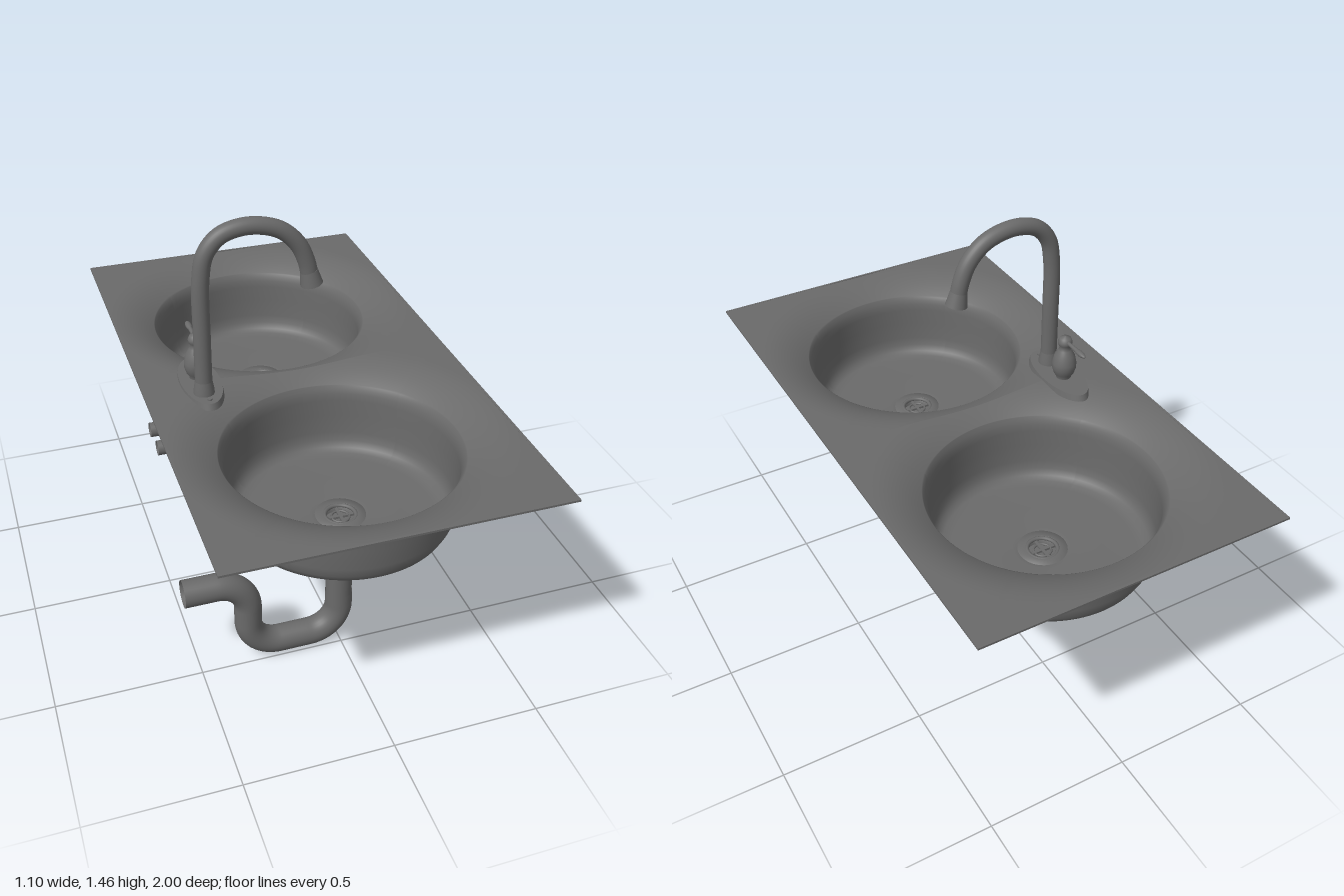
import * as THREE from 'three';

const steel = new THREE.MeshStandardMaterial({ color: 0x6a6a6a, side: THREE.DoubleSide });
steel.name = 'dark steel';
const V = (x, y, z) => new THREE.Vector3(x, y, z);
const BOWL_Z = 0.465, TOP = 0.845;

function add(parent, name, geometry, x = 0, y = 0, z = 0) {
  const mesh = new THREE.Mesh(geometry, steel);
  mesh.name = name;
  mesh.position.set(x, y, z);
  parent.add(mesh);
  return mesh;
}

// Straight round rod between two points
function rod(parent, name, a, b, r, r2 = r, open = false) {
  const geometry = new THREE.CylinderGeometry(r2, r, a.distanceTo(b), 32, 1, open);
  const mesh = add(parent, name, geometry);
  mesh.position.copy(a).add(b).multiplyScalar(0.5);
  mesh.quaternion.setFromUnitVectors(V(0, 1, 0), b.clone().sub(a).normalize());
  return mesh;
}

// Pipe through corner points, each corner rounded by the given bend radius
function pipe(parent, name, points, r, bend) {
  const path = new THREE.CurvePath();
  let from = points[0];
  for (let i = 1; i < points.length - 1; i++) {
    const p = points[i];
    const cut = (q) => p.clone().add(q.clone().sub(p).setLength(bend));
    const a = cut(points[i - 1]), b = cut(points[i + 1]);
    path.add(new THREE.LineCurve3(from, a));
    path.add(new THREE.CubicBezierCurve3(a, a.clone().lerp(p, 0.56), b.clone().lerp(p, 0.56), b));
    from = b;
  }
  path.add(new THREE.LineCurve3(from, points[points.length - 1]));
  return add(parent, name, new THREE.TubeGeometry(path, 90, r, 28, false));
}

const lathe = (pts, n = 40) => new THREE.LatheGeometry(pts.map(([r, y]) => new THREE.Vector2(r, y)), n);

// Half of the worktop, sinking smoothly into a round bowl
function basinGeometry() {
  const near = BOWL_Z, far = 1 - BOWL_Z, half = 0.55;
  const angles = [];
  for (let i = 0; i < 128; i++) angles.push((i / 128) * Math.PI * 2);
  for (const z of [far, -near]) {
    for (const x of [half, -half]) angles.push((Math.atan2(z, x) + Math.PI * 2) % (Math.PI * 2));
  }
  angles.sort((a, b) => a - b);
  const bowl = [[0.389, 0.78], [0.383, 0.765], [0.38, 0.74], [0.379, 0.68], [0.376, 0.61], [0.371, 0.58],
    [0.359, 0.557], [0.34, 0.546], [0.31, 0.542], [0.2, 0.54], [0.1, 0.537], [0.075, 0.534], [0.06, 0.525], [0.056, 0.5]];
  const rings = 14, pos = [], index = [], rows = rings + 1 + bowl.length, n = angles.length;
  for (let j = 0; j < rows; j++) {
    for (const a of angles) {
      const c = Math.cos(a), s = Math.sin(a);
      const edge = Math.min(half / Math.max(Math.abs(c), 1e-6), (s > 0 ? far : near) / Math.max(Math.abs(s), 1e-6));
      let r, y;
      if (j <= rings) {
        r = 0.395 + (edge - 0.395) * Math.pow(1 - j / rings, 1.5);
        const t = Math.max(0, (0.56 - r) / 0.165);
        y = TOP - 0.052 * t * t;
      } else [r, y] = bowl[j - rings - 1];
      pos.push(r * c, y, r * s);
    }
  }
  for (let j = 0; j < rows - 1; j++) {
    for (let i = 0; i < n; i++) {
      const a = j * n + i, b = j * n + (i + 1) % n;
      index.push(a, b, a + n, b, b + n, a + n);
    }
  }
  const g = new THREE.BufferGeometry();
  g.setAttribute('position', new THREE.Float32BufferAttribute(pos, 3));
  g.setIndex(index);
  g.computeVertexNormals();
  return g;
}

function makeDrain(parent, z) {
  const drain = new THREE.Group();
  drain.name = 'drain';
  drain.position.z = z;
  parent.add(drain);
  add(drain, 'drainFlange', lathe([[0.057, 0.538], [0.085, 0.536], [0.082, 0.522], [0.064, 0.512], [0.06, 0.49], [0.048, 0.482]]));
  add(drain, 'strainerRing', new THREE.TorusGeometry(0.052, 0.007, 10, 40), 0, 0.532, 0).rotation.x = Math.PI / 2;
  add(drain, 'strainerBar', new THREE.BoxGeometry(0.1, 0.008, 0.01), 0, 0.525, 0);
  add(drain, 'strainerBar', new THREE.BoxGeometry(0.01, 0.008, 0.1), 0, 0.525, 0);
  add(drain, 'strainerRing', new THREE.TorusGeometry(0.03, 0.004, 8, 32), 0, 0.525, 0).rotation.x = Math.PI / 2;
  add(drain, 'strainerFloor', new THREE.CylinderGeometry(0.055, 0.055, 0.004, 32), 0, 0.503, 0);
}

function makeSink(parent) {
  const sink = new THREE.Group();
  sink.name = 'sink';
  parent.add(sink);
  const geometry = basinGeometry();
  for (const s of [1, -1]) {
    const basin = add(sink, 'basin', geometry, 0, 0, s * BOWL_Z);
    if (s < 0) basin.rotation.y = Math.PI;
    add(sink, 'endRim', new THREE.BoxGeometry(1.1, 0.007, 0.008), 0, TOP - 0.003, s * 0.996);
    add(sink, 'sideRim', new THREE.BoxGeometry(0.008, 0.007, 2), s * 0.546, TOP - 0.003, 0);
    makeDrain(sink, s * BOWL_Z);
  }
}

function makeTap(parent) {
  const tap = new THREE.Group();
  tap.name = 'tap';
  parent.add(tap);
  // Oval mounting plate with a small cap
  add(tap, 'mountingPlate', new THREE.CylinderGeometry(0.95, 1, 0.022, 48), -0.347, 0.842, 0.005).scale.set(0.072, 1, 0.168);
  add(tap, 'plateCap', new THREE.CylinderGeometry(0.008, 0.008, 0.006, 16), -0.347, 0.855, 0.138);
  // Gooseneck spout
  const neck = new THREE.CatmullRomCurve3([[-0.353, 0.84], [-0.352, 1.05], [-0.348, 1.27], [-0.33, 1.355], [-0.285, 1.408],
    [-0.22, 1.43], [-0.15, 1.428], [-0.08, 1.403], [-0.025, 1.35], [0.005, 1.285], [0.02, 1.215]].map(([x, y]) => V(x, y, 0.085)));
  add(tap, 'spout', new THREE.TubeGeometry(neck, 90, 0.029, 28, false));
  add(tap, 'spoutCollar', lathe([[0.036, 0.845], [0.035, 0.865], [0.029, 0.9]]), -0.353, 0, 0.085);
  rod(tap, 'spoutTip', V(0.024, 1.2, 0.085), V(0.014, 1.25, 0.085), 0.038, 0.029);
  // Mixer body and lever
  add(tap, 'handleBody', lathe([[0.028, 0.845], [0.026, 0.858], [0.036, 0.872], [0.043, 0.895], [0.043, 0.915], [0.036, 0.945],
    [0.023, 0.966], [0.017, 0.977], [0.024, 0.988], [0.026, 1.0], [0.02, 1.014], [0, 1.022]]), -0.35, 0, -0.022);
  rod(tap, 'lever', V(-0.35, 1.002, -0.03), V(-0.35, 1.002, -0.1), 0.006, 0.008);
  const grip = add(tap, 'leverGrip', new THREE.SphereGeometry(1, 20, 14), -0.35, 1.002, -0.115);
  grip.scale.set(0.011, 0.009, 0.032);
}

function makeSupply(parent) {
  const supply = new THREE.Group();
  supply.name = 'waterSupply';
  parent.add(supply);
  rod(supply, 'mixerStem', V(-0.35, 0.73, -0.022), V(-0.35, 0.84, -0.022), 0.014, 0.018);
  rod(supply, 'spoutStem', V(-0.35, 0.73, 0.085), V(-0.35, 0.84, 0.085), 0.02);
  rod(supply, 'crossTube', V(-0.36, 0.73, 0.09), V(-0.36, 0.73, -0.12), 0.016);
  rod(supply, 'crossCollar', V(-0.36, 0.73, -0.005), V(-0.36, 0.73, 0.04), 0.023);
  rod(supply, 'crossCollar', V(-0.36, 0.73, -0.045), V(-0.36, 0.73, -0.1), 0.023);
  // Dropping inlet and straight inlet, both leaving at the back of the taps
  pipe(supply, 'upperInlet', [V(-0.36, 0.73, -0.12), V(-0.44, 0.73, -0.12), V(-0.44, 0.63, -0.12)], 0.024, 0.03);
  pipe(supply, 'upperInletOutlet', [V(-0.44, 0.66, -0.12), V(-0.44, 0.605, -0.12), V(-0.51, 0.605, -0.12)], 0.026, 0.028);
  pipe(supply, 'lowerInlet', [V(-0.39, 0.605, -0.14), V(-0.39, 0.605, 0.0), V(-0.51, 0.605, 0.0)], 0.026, 0.035);
}

function makeWaste(parent) {
  const waste = new THREE.Group();
  waste.name = 'wastePipes';
  parent.add(waste);
  // Trap under the front bowl
  rod(waste, 'frontDownpipe', V(0, 0.2, BOWL_Z), V(0, 0.5, BOWL_Z), 0.045);
  pipe(waste, 'trap', [V(0, 0.21, BOWL_Z), V(0, 0.05, BOWL_Z), V(-0.325, 0.05, BOWL_Z),
    V(-0.325, 0.335, BOWL_Z), V(-0.545, 0.335, BOWL_Z)], 0.047, 0.11);
  // Link from the back bowl
  rod(waste, 'backDownpipe', V(0, 0.335, -BOWL_Z), V(0, 0.5, -BOWL_Z), 0.04);
  rod(waste, 'linkPipe', V(0, 0.338, BOWL_Z), V(0, 0.338, -0.43), 0.037);
  rod(waste, 'frontLinkCollar', V(0, 0.338, BOWL_Z), V(0, 0.338, 0.33), 0.042);
  rod(waste, 'elbowSleeve', V(0, 0.338, -0.33), V(0, 0.338, -0.5), 0.042);
  rod(waste, 'elbowSleeve', V(0, 0.298, -0.46), V(0, 0.44, -0.46), 0.042);
}

export function createModel() {
  const model = new THREE.Group();
  model.name = 'doubleBowlSink';
  makeSink(model);
  makeTap(model);
  makeSupply(model);
  makeWaste(model);
  return model;
}
